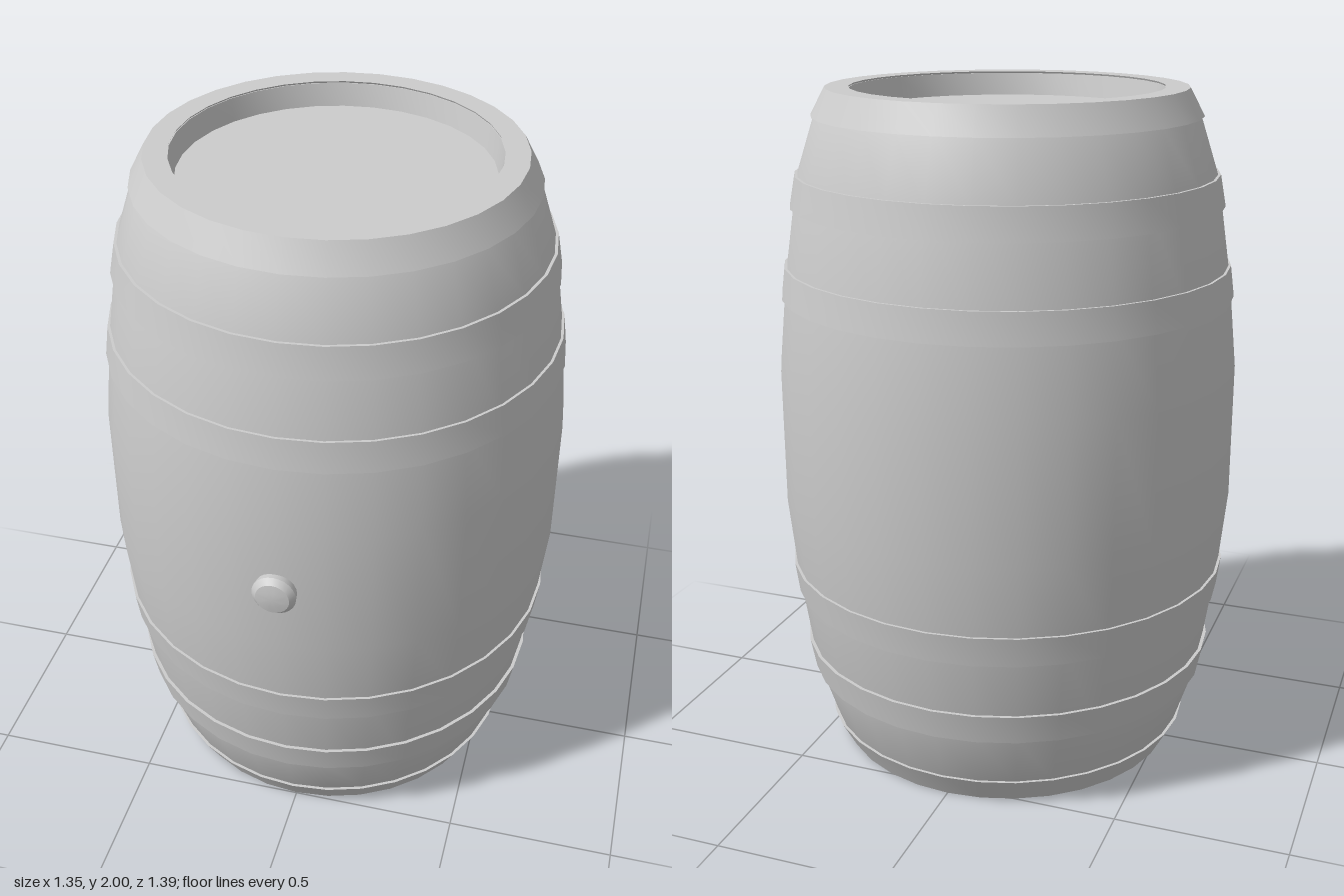
import * as THREE from 'three';
import { toCreasedNormals } from 'three/addons/utils/BufferGeometryUtils.js';

const SEGMENTS = 32;

function lathe(name, points, segments, material) {
  const profile = points.map(([r, y]) => new THREE.Vector2(r, y));
  const geometry = toCreasedNormals(new THREE.LatheGeometry(profile, segments), 0.5);
  const mesh = new THREE.Mesh(geometry, material);
  mesh.name = name;
  return mesh;
}

export function createModel() {
  const material = new THREE.MeshStandardMaterial({ color: 0xcccccc });
  const model = new THREE.Group();
  model.name = 'barrel';

  const cask = new THREE.Group();
  cask.name = 'cask';
  cask.position.set(0, 1, -0.02);
  model.add(cask);

  // Upper half of the staves, rim and recessed head, mirrored below
  const upper = [
    [0.677, 0.2], [0.652, 0.45], [0.607, 0.75], [0.55, 0.925], [0.51, 0.995],
    [0.45, 0.995], [0.437, 0.93], [0, 0.93],
  ];
  const lower = upper.map(([r, y]) => [r, -y]).reverse();
  cask.add(lathe('staves', [...lower, ...upper], SEGMENTS, material));

  // Hoops: [inner edge y, radius, outer edge y, radius, depth], as height from the middle
  const hoops = [
    ['bilgeHoop', 0.41, 0.664, 0.5, 0.652, 0.03],
    ['quarterHoop', 0.67, 0.629, 0.76, 0.612, 0.03],
    ['chimeHoop', 0.922, 0.56, 1, 0.518, 0.068],
  ];
  for (const [name, y0, r0, y1, r1, depth] of hoops) {
    const ring = [[r0 - depth, y0], [r0, y0], [r1, y1], [r1 - depth, y1], [r0 - depth, y0]];
    const mirrored = ring.map(([r, y]) => [r, -y]).reverse();
    cask.add(lathe(name + 'Upper', ring, SEGMENTS, material));
    cask.add(lathe(name + 'Lower', mirrored, SEGMENTS, material));
  }

  // Domed bung on the front
  const bung = lathe('bung', [
    [0, 0], [0.055, 0], [0.063, 0.055], [0.048, 0.071], [0.025, 0.075], [0, 0.076],
  ], 24, material);
  bung.rotation.x = Math.PI / 2;
  bung.position.set(0, 1.005, 0.619);
  model.add(bung);

  return model;
}
